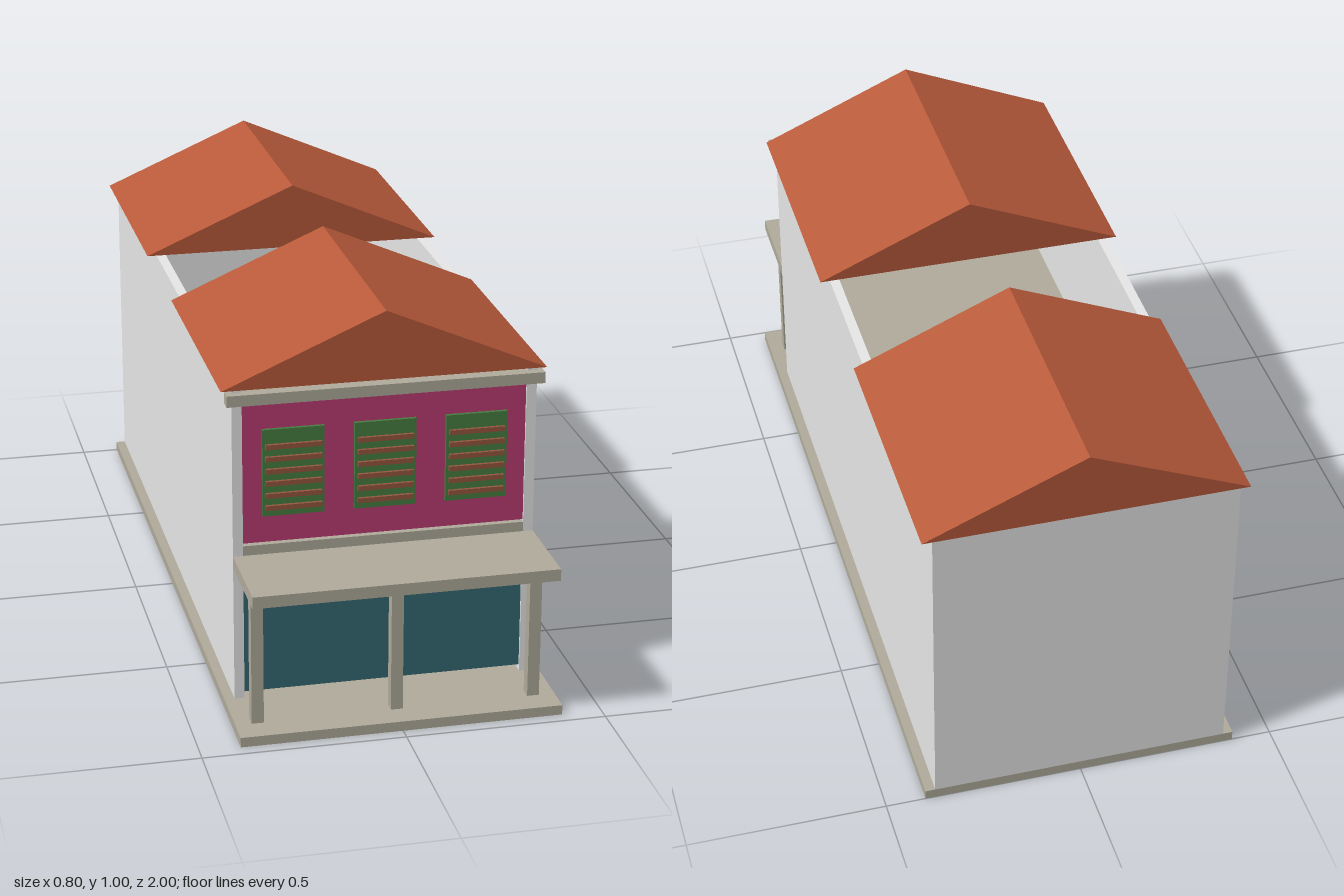
import * as THREE from 'three';

const mat = (name, color) => {
  const m = new THREE.MeshStandardMaterial({ color });
  m.name = name;
  return m;
};

export function createModel() {
  const plaster = mat('white plaster', 0xf0f0f0);
  const concrete = mat('warm concrete', 0xb0ab9b);
  const tile = mat('terracotta tile', 0xb85a3a);
  const magenta = mat('magenta paint', 0xbc3c72);
  const teal = mat('teal paint', 0x346972);
  const green = mat('shutter green', 0x477e40);
  const brown = mat('slat brown', 0x95583f);

  const house = new THREE.Group();
  house.name = 'shophouse';

  // Box given by its extents on each axis
  const box = (name, m, [x0, x1], [y0, y1], [z0, z1], parent = house) => {
    const mesh = new THREE.Mesh(new THREE.BoxGeometry(x1 - x0, y1 - y0, z1 - z0), m);
    mesh.position.set((x0 + x1) / 2, (y0 + y1) / 2, (z0 + z1) / 2);
    mesh.name = name;
    parent.add(mesh);
    return mesh;
  };

  // Ground slab and shell, open at the courtyard
  box('groundSlab', concrete, [-0.4, 0.4], [0, 0.025], [-1, 0.967]);
  box('rightWall', plaster, [0.35, 0.375], [0.025, 0.83], [-1, 0.76]);
  box('leftWall', plaster, [-0.375, -0.35], [0.025, 0.83], [-1, 0.76]);
  box('backWall', plaster, [-0.35, 0.35], [0.025, 0.83], [-1, -0.975]);

  // Upper floor around the air well
  const floor = new THREE.Group();
  floor.name = 'upperFloor';
  house.add(floor);
  const level = [0.405, 0.43];
  box('frontFloor', concrete, [-0.35, 0.35], level, [0.07, 0.76], floor);
  box('rearFloor', concrete, [-0.35, 0.35], level, [-0.98, -0.31], floor);
  box('rightWalkway', concrete, [0.15, 0.35], level, [-0.31, 0.07], floor);
  box('leftWalkway', concrete, [-0.35, -0.15], level, [-0.31, 0.07], floor);

  // Street front
  box('shopDoors', teal, [-0.35, 0.35], [0.04, 0.365], [0.735, 0.755]);
  box('upperFrontWall', magenta, [-0.35, 0.35], [0.435, 0.797], [0.735, 0.755]);
  box('cornice', concrete, [-0.39, 0.39], [0.797, 0.825], [0.747, 0.78]);

  // Canopy on three posts
  box('canopy', concrete, [-0.375, 0.375], [0.375, 0.405], [0.76, 1]);
  for (const x of [-0.345, 0, 0.345]) {
    box('canopyPost', concrete, [x - 0.015, x + 0.015], [0.025, 0.375], [0.87, 0.9]);
  }

  // Louvred shutters
  for (const x of [-0.226, 0, 0.226]) {
    const shutter = new THREE.Group();
    shutter.name = 'shutter';
    house.add(shutter);
    box('shutterPanel', green, [x - 0.076, x + 0.076], [0.505, 0.727], [0.755, 0.764], shutter);
    for (let i = 0; i < 6; i++) {
      const y = 0.528 + i * 0.0313;
      box('slat', brown, [x - 0.069, x + 0.069], [y - 0.006, y + 0.006], [0.764, 0.772], shutter);
    }
  }

  // Gabled roofs, solid triangular prisms
  const gable = new THREE.Shape([
    new THREE.Vector2(-0.4, 0.83),
    new THREE.Vector2(0.4, 0.83),
    new THREE.Vector2(0, 1.003),
  ]);
  for (const [name, z] of [['frontRoof', 0.07], ['rearRoof', -1]]) {
    const roof = new THREE.Mesh(
      new THREE.ExtrudeGeometry(gable, { depth: 0.69, bevelEnabled: false }), tile);
    roof.position.z = z;
    roof.name = name;
    house.add(roof);
  }

  return house;
}
